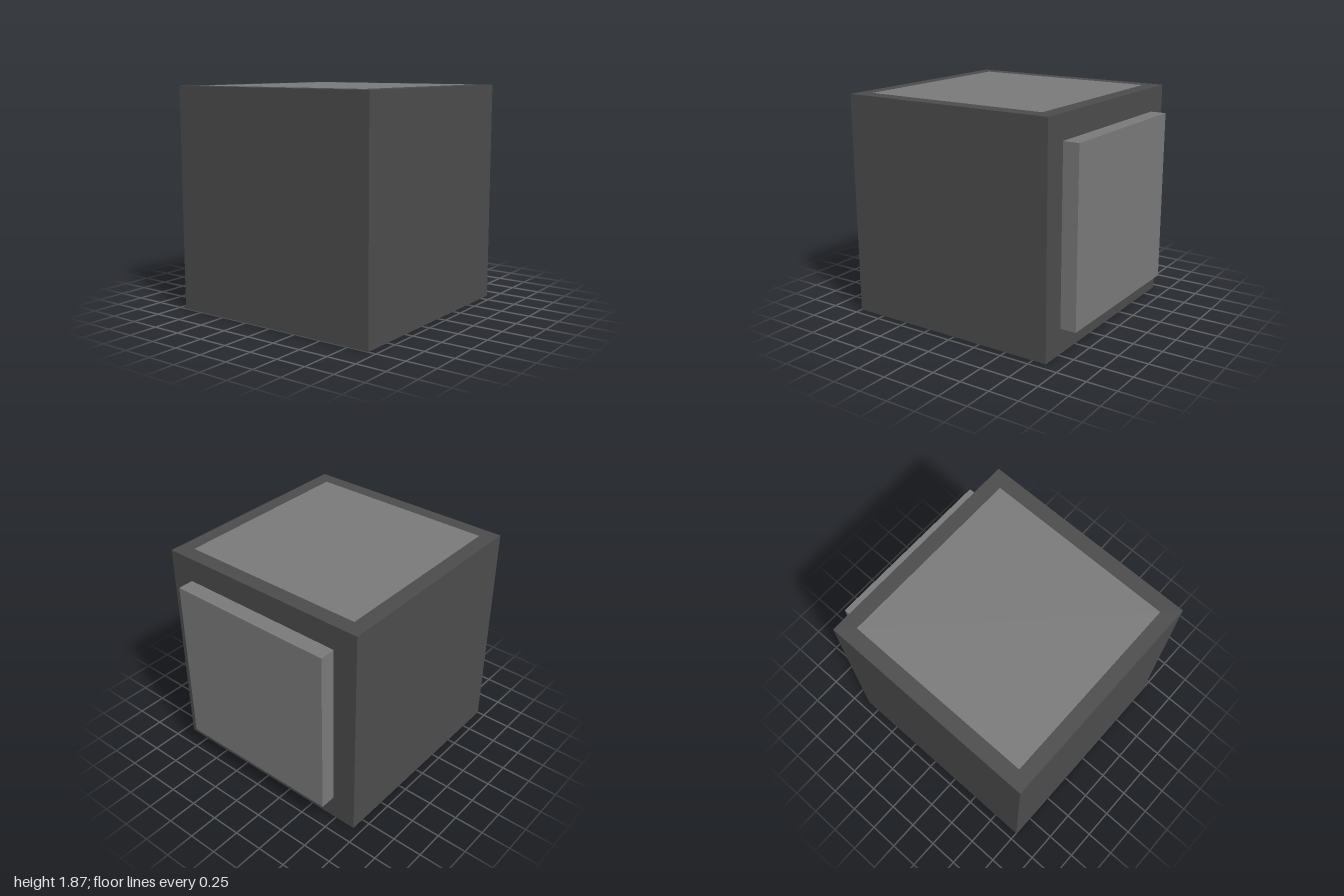
import * as THREE from 'three';

const SIZE = 1.866; // edge of the cube
const CX = -1 + SIZE / 2; // cube centre in x, leaving room for the side panel

export function createModel() {
  const group = new THREE.Group();
  const dark = new THREE.MeshStandardMaterial({ color: 0x4c4c4c });
  const light = new THREE.MeshStandardMaterial({ color: 0x7a7a7a });

  const add = (name, geometry, material, x, y, z) => {
    const mesh = new THREE.Mesh(geometry, material);
    mesh.name = name;
    mesh.position.set(x, y, z);
    group.add(mesh);
    return mesh;
  };

  // Main cube
  add('body', new THREE.BoxGeometry(SIZE, SIZE, SIZE), dark, CX, SIZE / 2, 0);

  // Raised square panel on the left side, seated slightly into the cube
  const inner = CX + SIZE / 2 - 0.01;
  add('sidePanel', new THREE.BoxGeometry(1 - inner, 1.452, 1.452), light, (1 + inner) / 2, 0.936, 0);

  // Thin square inlay, almost flush with the top
  const inlay = new THREE.PlaneGeometry(1.62, 1.615).rotateX(-Math.PI / 2);
  add('topPanel', inlay, light, -0.07, SIZE + 0.002, 0);

  return group;
}
